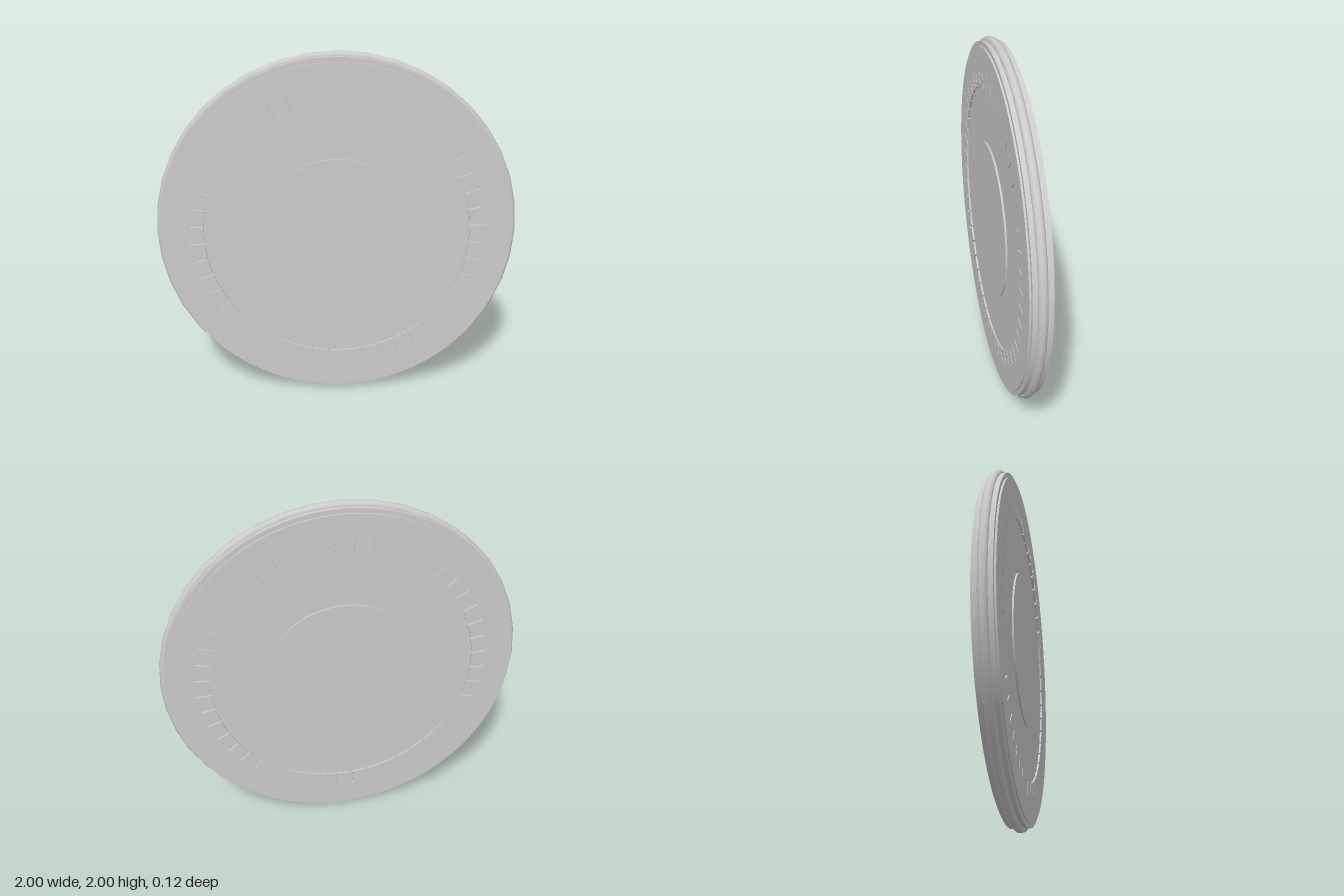
import * as THREE from 'three';
import { toCreasedNormals } from 'three/addons/utils/BufferGeometryUtils.js';

const material = new THREE.MeshStandardMaterial({ color: 0xcccccc });
const FLOOR = 0.05;   // half thickness at the recessed floor
const FACE = 0.06;    // half thickness at the raised faces
const NOTCHES = 48;

function part(name, geometry, parent) {
  const mesh = new THREE.Mesh(geometry, material);
  mesh.name = name;
  parent.add(mesh);
  return mesh;
}

// Cylinder lying along z
function disc(radius, depth, segments) {
  return new THREE.CylinderGeometry(radius, radius, depth, segments).rotateX(Math.PI / 2);
}

// Flat ring whose inner edge is cut by thin radial notches
function notchedRing() {
  const inner = 0.735, outer = 0.82, half = 0.005;
  const step = (Math.PI * 2) / NOTCHES;
  const polar = (r, a) => new THREE.Vector2(r * Math.cos(a), r * Math.sin(a));
  const points = [];
  for (let i = 0; i < NOTCHES; i++) {
    const a = (i + 0.5) * step;
    points.push(
      polar(inner, i * step),
      polar(inner, a - half / inner),
      polar(outer, a - half / outer),
      polar(outer, a + half / outer),
      polar(inner, a + half / inner)
    );
  }
  const shape = new THREE.Shape().absarc(0, 0, 0.95, 0, Math.PI * 2, false);
  shape.holes.push(new THREE.Path(points.reverse()));
  const geometry = new THREE.ExtrudeGeometry(shape, {
    depth: FACE - FLOOR, bevelEnabled: false, curveSegments: 80
  });
  return toCreasedNormals(geometry, 0.5);
}

export function createModel() {
  const group = new THREE.Group();
  group.name = 'disc';

  const body = new THREE.Group();
  body.name = 'body';
  body.position.y = 1;
  group.add(body);

  // Core, which also forms the recessed floors and the stepped edge
  part('core', disc(0.975, FLOOR * 2, 80), body);

  // Rounded bead around the rim
  part('rimBead', new THREE.TorusGeometry(0.975, 0.025, 12, 40), body);

  // Identical relief on both faces
  const ring = notchedRing();
  const centre = disc(0.432, FACE - FLOOR, 80);
  for (const name of ['front', 'back']) {
    const side = new THREE.Group();
    side.name = name + 'Face';
    if (name === 'back') side.rotation.y = Math.PI;
    part('notchedRing', ring, side).position.z = FLOOR;
    part('centreDisc', centre, side).position.z = (FLOOR + FACE) / 2;
    body.add(side);
  }
  return group;
}
